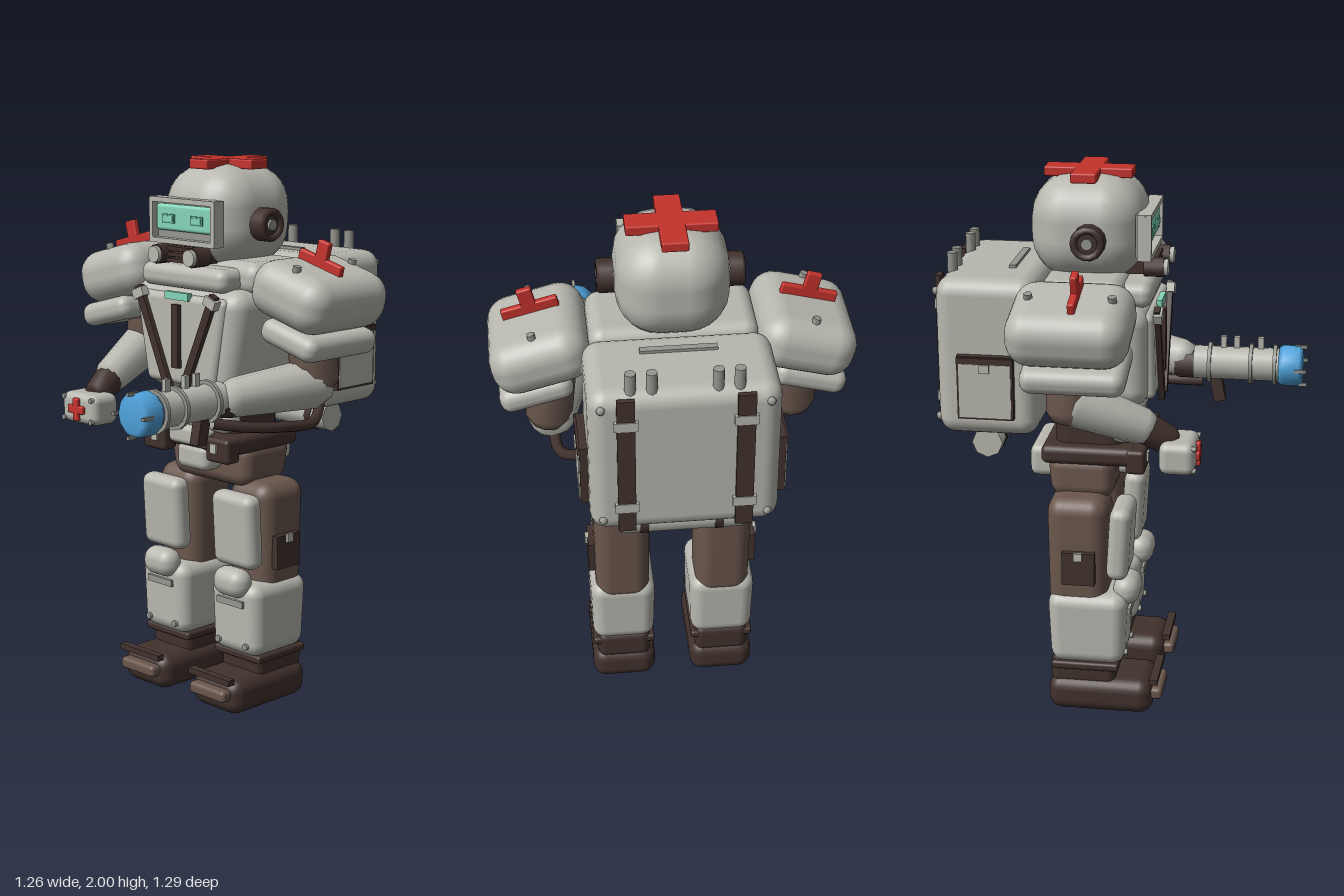
import * as THREE from 'three';
import { RoundedBoxGeometry } from 'three/addons/geometries/RoundedBoxGeometry.js';

const mat = (name, color) => Object.assign(new THREE.MeshStandardMaterial({ color }), { name });
const V = (p) => new THREE.Vector3(...p);

export function createModel() {
  const shell = mat('pale grey armour', 0xb8b8b0);
  const trim = mat('mid grey trim', 0x96968f);
  const suit = mat('brown suit', 0x6a574d);
  const dark = mat('dark brown leather', 0x41322d);
  const red = mat('red', 0xc5332d);
  const blue = mat('blue nozzle', 0x4fa3dc);
  const mint = mat('mint glass', 0x86d6ba);
  const mintDeep = mat('deep mint lens', 0x62b59b);
  const root = new THREE.Group();
  root.name = 'medicRobot';

  const add = (name, geo, m, pos = [0, 0, 0], rot = [0, 0, 0], parent = root) => {
    const mesh = new THREE.Mesh(geo, m);
    mesh.name = name;
    mesh.position.set(...pos);
    mesh.rotation.set(...rot);
    parent.add(mesh);
    return mesh;
  };
  const box = (name, m, size, pos, rot, parent) => add(name, new THREE.BoxGeometry(...size), m, pos, rot, parent);
  // rounded block; taper = width and depth factor at the bottom
  const soft = (name, m, size, r, pos, rot, parent, taper = [1, 1]) => {
    const geo = new RoundedBoxGeometry(...size, 3, r);
    if (taper[0] !== 1 || taper[1] !== 1) {
      const p = geo.attributes.position;
      for (let i = 0; i < p.count; i++) {
        const t = 0.5 - p.getY(i) / size[1];
        p.setX(i, p.getX(i) * (1 + (taper[0] - 1) * t));
        p.setZ(i, p.getZ(i) * (1 + (taper[1] - 1) * t));
      }
    }
    return add(name, geo, m, pos, rot, parent);
  };
  const cyl = (name, m, r, h, pos, rot, parent, sides = 10) =>
    add(name, new THREE.CylinderGeometry(r, r, h, sides), m, pos, rot, parent);
  // rounded limb segment between two points
  const limb = (name, m, a, b, r1, r2) => {
    const from = V(a), dir = V(b).sub(from), L = dir.length();
    const pts = [[0, 0], [r1 * 0.75, 0], [r1, L * 0.12], [r2, L * 0.88], [r2 * 0.75, L], [0, L]];
    const mesh = add(name, new THREE.LatheGeometry(pts.map((p) => new THREE.Vector2(...p)), 12), m, a);
    mesh.quaternion.setFromUnitVectors(new THREE.Vector3(0, 1, 0), dir.normalize());
    return mesh;
  };
  // flat strap lying in the xy direction between two points
  const strap = (name, a, b, w, t) => {
    const d = V(b).sub(V(a));
    return box(name, dark, [w, d.length(), t], V(a).add(V(b)).multiplyScalar(0.5).toArray(),
      [0, 0, Math.atan2(-d.x, d.y)]);
  };
  const cross = (name, len, len2, w, t, pos, rot, parent) => {
    const g = new THREE.Group();
    g.name = name;
    g.position.set(...pos);
    g.rotation.set(...rot);
    soft('crossBar', red, [len, w, t], 0.006, [0, 0, 0], [0, 0, 0], g);
    soft('crossUpright', red, [w, len2, t * 0.99], 0.006, [0, 0, 0], [0, 0, 0], g);
    (parent || root).add(g);
  };
  const H = Math.PI / 2;

  // head, visor and mouthpiece
  soft('head', shell, [0.39, 0.37, 0.41], 0.15, [0, 1.795, -0.122]);
  cross('headCross', 0.31, 0.315, 0.09, 0.035, [0, 1.983, -0.127], [H, 0, 0]);
  box('visorBacking', trim, [0.3, 0.15, 0.03], [0, 1.785, 0.07]);
  for (const y of [1.71, 1.856]) box('visorFrame', shell, [0.33, 0.018, 0.05], [0, y, 0.088]);
  for (const s of [-1, 1]) {
    box('visorFrame', shell, [0.018, 0.155, 0.05], [s * 0.157, 1.783, 0.088]);
    box('eye', mintDeep, [0.06, 0.032, 0.008], [s * 0.072, 1.79, 0.105]);
    box('eyeGlow', mint, [0.048, 0.02, 0.008], [s * 0.072, 1.79, 0.108]);
    cyl('breather', dark, 0.036, 0.07, [s * 0.09, 1.665, 0.115], [H, 0, 0]);
    cyl('breatherCap', shell, 0.03, 0.02, [s * 0.09, 1.665, 0.155], [H, 0, 0]);
    cyl('earCup', dark, 0.06, 0.05, [s * 0.215, 1.775, -0.1], [0, 0, H], root, 14);
    add('earRing', new THREE.TorusGeometry(0.048, 0.013, 6, 14), dark, [s * 0.24, 1.775, -0.1], [0, H, 0]);
    cyl('earHub', trim, 0.02, 0.025, [s * 0.238, 1.775, -0.1], [0, 0, H]);
  }
  soft('visor', mint, [0.285, 0.095, 0.03], 0.012, [0, 1.793, 0.088]);
  for (let i = 0; i < 3; i++) box('mouthSlat', dark, [0.15, 0.014, 0.05], [0, 1.645 + i * 0.021, 0.1]);
  box('chin', dark, [0.17, 0.06, 0.1], [0, 1.665, 0.04]);

  // torso
  soft('trapezius', shell, [0.58, 0.12, 0.3], 0.05, [0, 1.59, -0.12]);
  soft('collar', shell, [0.43, 0.085, 0.36], 0.035, [0, 1.585, -0.06]);
  soft('chest', shell, [0.58, 0.39, 0.38], 0.07, [0, 1.36, -0.075], [0, 0, 0], root, [0.68, 0.95]);
  soft('chestPlate', shell, [0.46, 0.33, 0.06], 0.025, [0, 1.36, 0.1], [0, 0, 0], root, [0.72, 1]);
  box('chestLight', mint, [0.12, 0.028, 0.02], [0, 1.52, 0.128]);
  strap('centreStrap', [0, 1.26, 0.135], [0, 1.49, 0.135], 0.035, 0.025);
  for (const s of [-1, 1]) {
    strap('chestStrap', [s * 0.03, 1.165, 0.138], [s * 0.195, 1.54, 0.138], 0.032, 0.022);
    box('strapBuckle', shell, [0.055, 0.035, 0.03], [s * 0.185, 1.515, 0.142], [0, 0, -s * 0.41]);
  }
  soft('waist', dark, [0.34, 0.26, 0.26], 0.06, [0, 1.09, -0.11]);
  soft('upperAbdomenPad', shell, [0.22, 0.075, 0.12], 0.03, [0, 1.13, 0.015]);
  soft('lowerAbdomenPad', shell, [0.34, 0.075, 0.1], 0.03, [0, 1.06, 0.01]);

  // belt and pelvis
  soft('belt', dark, [0.44, 0.07, 0.35], 0.025, [0, 0.985, -0.105]);
  soft('pelvis', suit, [0.43, 0.17, 0.25], 0.05, [0, 0.895, -0.135], [0, 0, 0], root, [0.88, 0.92]);
  soft('beltBuckle', shell, [0.2, 0.07, 0.06], 0.02, [0, 1.0, 0.06]);
  soft('groinPad', shell, [0.16, 0.1, 0.1], 0.03, [0, 0.92, 0.02]);
  soft('rearPouch', shell, [0.28, 0.12, 0.1], 0.03, [0, 0.93, -0.285]);
  for (const s of [-1, 1]) {
    soft('beltPouch', dark, [0.115, 0.09, 0.07], 0.015, [s * 0.165, 0.972, 0.065]);
    box('beltPouchClip', shell, [0.03, 0.035, 0.015], [s * 0.155, 0.98, 0.1]);
  }

  // legs
  for (const s of [-1, 1]) {
    const leg = new THREE.Group();
    leg.name = s > 0 ? 'leftLeg' : 'rightLeg';
    leg.position.x = s * 0.188;
    root.add(leg);
    const O = [0, 0, 0];
    soft('thigh', suit, [0.21, 0.44, 0.225], 0.06, [0, 0.62, -0.14], O, leg, [0.95, 0.95]);
    soft('thighPlate', shell, [0.205, 0.28, 0.08], 0.035, [0, 0.67, 0.012], [0.06, 0, 0], leg);
    soft('knee', shell, [0.155, 0.11, 0.1], 0.05, [0, 0.475, 0.035], O, leg);
    soft('shin', shell, [0.245, 0.28, 0.295], 0.05, [0, 0.335, -0.103], O, leg, [0.95, 0.92]);
    box('shinBar', trim, [0.13, 0.025, 0.02], [0, 0.4, 0.043], O, leg);
    soft('ankle', dark, [0.2, 0.12, 0.24], 0.03, [0, 0.165, -0.12], O, leg);
    soft('ankleCuff', dark, [0.235, 0.03, 0.25], 0.01, [0, 0.19, -0.11], O, leg);
    soft('foot', dark, [0.24, 0.135, 0.39], 0.05, [0, 0.0675, -0.055], O, leg);
    box('toeBar', dark, [0.21, 0.022, 0.03], [0, 0.137, 0.145], O, leg);
    soft('toeCap', suit, [0.18, 0.045, 0.05], 0.015, [0, 0.08, 0.15], O, leg);
    box('thighPouch', dark, [0.03, 0.125, 0.12], [s * 0.11, 0.585, -0.13], O, leg);
    box('thighPouchClip', shell, [0.012, 0.03, 0.03], [s * 0.128, 0.635, -0.13], O, leg);
    for (const t of [-1, 1]) cyl('shinBolt', trim, 0.013, 0.02, [t * 0.07, 0.24, 0.035], [H, 0, 0], leg, 6);
  }

  // shoulders and upper arms
  for (const s of [-1, 1]) {
    const pad = new THREE.Group();
    pad.name = s > 0 ? 'leftShoulder' : 'rightShoulder';
    pad.position.set(s * 0.455, 1.55, -0.12);
    pad.rotation.z = -s * 0.26;
    root.add(pad);
    soft('shoulderPad', shell, [0.345, 0.2, 0.42], 0.085, [0, 0, 0], [0, 0, 0], pad);
    soft('lowerShoulderPad', shell, [0.26, 0.09, 0.36], 0.04, [s * 0.055, -0.135, 0.02], [0, 0, 0], pad);
    cross('shoulderCross', 0.2, 0.17, 0.052, 0.025, [-s * 0.005, 0.108, 0.02], [0, 0, 0], pad);
    for (const z of [-0.14, 0.145]) cyl('padBolt', trim, 0.015, 0.03, [0, 0.1, z], [0, 0, 0], pad, 6);
    limb('upperArm', suit, [s * 0.41, 1.5, -0.12], [s * 0.435, 1.2, -0.13], 0.09, 0.085);
  }

  // right forearm and hand
  limb('rightForearm', shell, [-0.445, 1.28, -0.14], [-0.375, 1.16, 0.15], 0.085, 0.065);
  limb('rightWrist', dark, [-0.39, 1.19, 0.09], [-0.355, 1.11, 0.22], 0.058, 0.052);
  soft('rightHand', shell, [0.19, 0.115, 0.125], 0.03, [-0.36, 1.078, 0.24]);
  cross('handCross', 0.085, 0.085, 0.03, 0.018, [-0.36, 1.078, 0.307], [0, 0, 0]);
  for (const x of [-0.075, 0.075]) for (const y of [-0.04, 0.04])
    cyl('handBolt', trim, 0.01, 0.02, [-0.36 + x, 1.078 + y, 0.297], [H, 0, 0], root, 6);

  // left forearm and sprayer
  limb('leftForearm', shell, [0.44, 1.23, -0.17], [0.315, 1.2, 0.22], 0.09, 0.07);
  limb('leftWrist', dark, [0.325, 1.19, 0.15], [0.3, 1.19, 0.25], 0.06, 0.055);
  cyl('barrel', shell, 0.063, 0.32, [0.3, 1.2, 0.38], [H, 0, 0], root, 14);
  for (const z of [0.28, 0.435, 0.525]) cyl('barrelRing', trim, 0.077, 0.014, [0.3, 1.2, z], [H, 0, 0], root, 14);
  for (const z of [0.33, 0.38, 0.47]) box('barrelTab', shell, [0.018, 0.05, 0.022], [0.3, 1.28, z]);
  const nozzle = [[0, 0], [0.068, 0], [0.078, 0.015], [0.078, 0.075], [0.062, 0.09], [0, 0.09]];
  add('nozzle', new THREE.LatheGeometry(nozzle.map((p) => new THREE.Vector2(...p)), 12), blue, [0.3, 1.2, 0.54], [H, 0, 0]);
  for (let i = 0; i < 4; i++) {
    const a = i * H;
    box('nozzleProng', trim, [0.012, 0.012, 0.045], [0.3 + 0.074 * Math.cos(a), 1.2 + 0.074 * Math.sin(a), 0.622]);
  }
  box('sprayerGrip', dark, [0.04, 0.1, 0.045], [0.3, 1.1, 0.31], [-0.2, 0, 0]);
  const hose = [[0.31, 1.12, 0.26], [0.37, 1.1, 0.15], [0.41, 1.085, 0], [0.4, 1.08, -0.16], [0.3, 1.17, -0.31]];
  add('hose', new THREE.TubeGeometry(new THREE.CatmullRomCurve3(hose.map(V)), 20, 0.02, 8), dark);

  // backpack
  soft('backpack', shell, [0.64, 0.57, 0.36], 0.06, [0, 1.367, -0.45]);
  box('packTopPlate', trim, [0.26, 0.015, 0.025], [0, 1.655, -0.385]);
  cyl('bedroll', shell, 0.056, 0.42, [0, 1.02, -0.475], [0, 0, H], root, 8);
  for (const s of [-1, 1]) {
    strap('packStrap', [s * 0.197, 1.1, -0.633], [s * 0.197, 1.64, -0.633], 0.06, 0.018);
    for (const y of [1.2, 1.54]) box('packClip', shell, [0.08, 0.035, 0.014], [s * 0.197, y, -0.638]);
    cyl('bedrollBand', dark, 0.059, 0.03, [s * 0.13, 1.02, -0.475], [0, 0, H], root, 8);
    box('bedrollHanger', dark, [0.03, 0.06, 0.06], [s * 0.13, 1.08, -0.475]);
    for (const x of [0.108, 0.178]) cyl('packTube', trim, 0.019, 0.09, [s * x, 1.67, -0.59], [0, 0, 0], root, 8);
    for (const y of [1.14, 1.6]) add('packBolt', new THREE.SphereGeometry(0.015, 8, 6), trim, [s * 0.277, y, -0.627]);
    box('sidePocket', dark, [0.035, 0.23, 0.2], [s * 0.33, 1.272, -0.447]);
    box('sidePocketPanel', shell, [0.012, 0.195, 0.185], [s * 0.346, 1.262, -0.447]);
    box('sidePocketFlap', dark, [0.014, 0.022, 0.2], [s * 0.348, 1.372, -0.447]);
    box('sidePocketLatch', shell, [0.016, 0.03, 0.035], [s * 0.352, 1.345, -0.447]);
  }
  return root;
}
